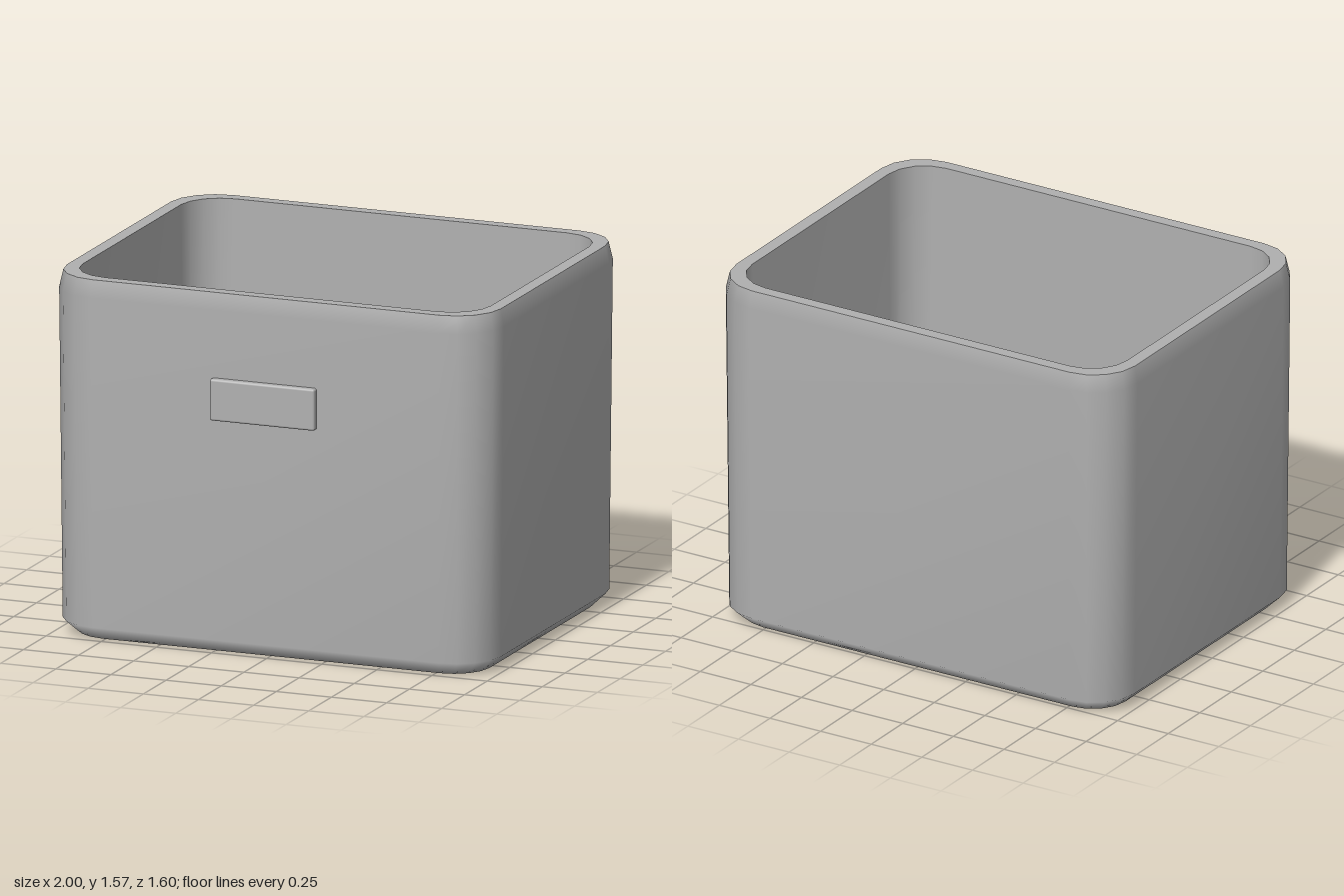
import * as THREE from 'three';
import { RoundedBoxGeometry } from 'three/addons/geometries/RoundedBoxGeometry.js';

const CORNER_STEPS = 4;
const CENTRE_Z = -0.013;

// Rounded-rectangle ring at height y: half width w, half depth d, corner radius r
function ring([y, w, d, r]) {
  const points = [];
  const corners = [[1, 1], [-1, 1], [-1, -1], [1, -1]];
  corners.forEach(([sx, sz], q) => {
    for (let i = 0; i <= CORNER_STEPS; i++) {
      const a = (q + i / CORNER_STEPS) * Math.PI / 2;
      points.push([sx * (w - r) + r * Math.cos(a), y, sz * (d - r) + r * Math.sin(a)]);
    }
  });
  return points;
}

// Smooth skin through a list of rings; one call per hard-edged region
function loft(sections) {
  const rings = sections.map(ring);
  const n = rings[0].length;
  const index = [];
  for (let i = 0; i < rings.length - 1; i++) {
    for (let j = 0; j < n; j++) {
      const k = (j + 1) % n;
      const a = i * n + j, b = a + n, c = i * n + k, d = c + n;
      index.push(a, b, c, c, b, d);
    }
  }
  const geometry = new THREE.BufferGeometry();
  geometry.setAttribute('position', new THREE.Float32BufferAttribute(rings.flat(2), 3));
  geometry.setIndex(index);
  geometry.computeVertexNormals();
  return geometry;
}

export function createModel() {
  const group = new THREE.Group();
  group.name = 'storageBin';
  const grey = new THREE.MeshStandardMaterial({ color: 0xb0b0b0 });
  grey.name = 'grey plastic';

  const add = (name, geometry, x, y, z) => {
    const mesh = new THREE.Mesh(geometry, grey);
    mesh.name = name;
    mesh.position.set(x, y, z);
    group.add(mesh);
  };

  // Sections: height, half width, half depth, corner radius
  const rimOuter = [1.565, 0.984, 0.773, 0.2];
  const rimInner = [1.565, 0.926, 0.717, 0.175];
  const floorEdge = [0.07, 0.912, 0.702, 0.17];

  // Underside, chamfered foot, tapered walls and drawn-in lip
  add('outerShell', loft([
    [0, 0, 0, 0],
    [0, 0.924, 0.715, 0.16],
    [0.06, 0.985, 0.777, 0.2],
    [1.49, 1.0, 0.788, 0.21],
    rimOuter,
  ]), 0, 0, CENTRE_Z);
  add('rim', loft([rimOuter, rimInner]), 0, 0, CENTRE_Z);
  add('innerWalls', loft([rimInner, floorEdge]), 0, 0, CENTRE_Z);
  add('innerFloor', loft([floorEdge, [0.07, 0, 0, 0]]), 0, 0, CENTRE_Z);

  // Label plate on the front wall
  add('labelPlate', new RoundedBoxGeometry(0.475, 0.18, 0.05, 3, 0.01), -0.002, 1.108, 0.776);

  return group;
}
